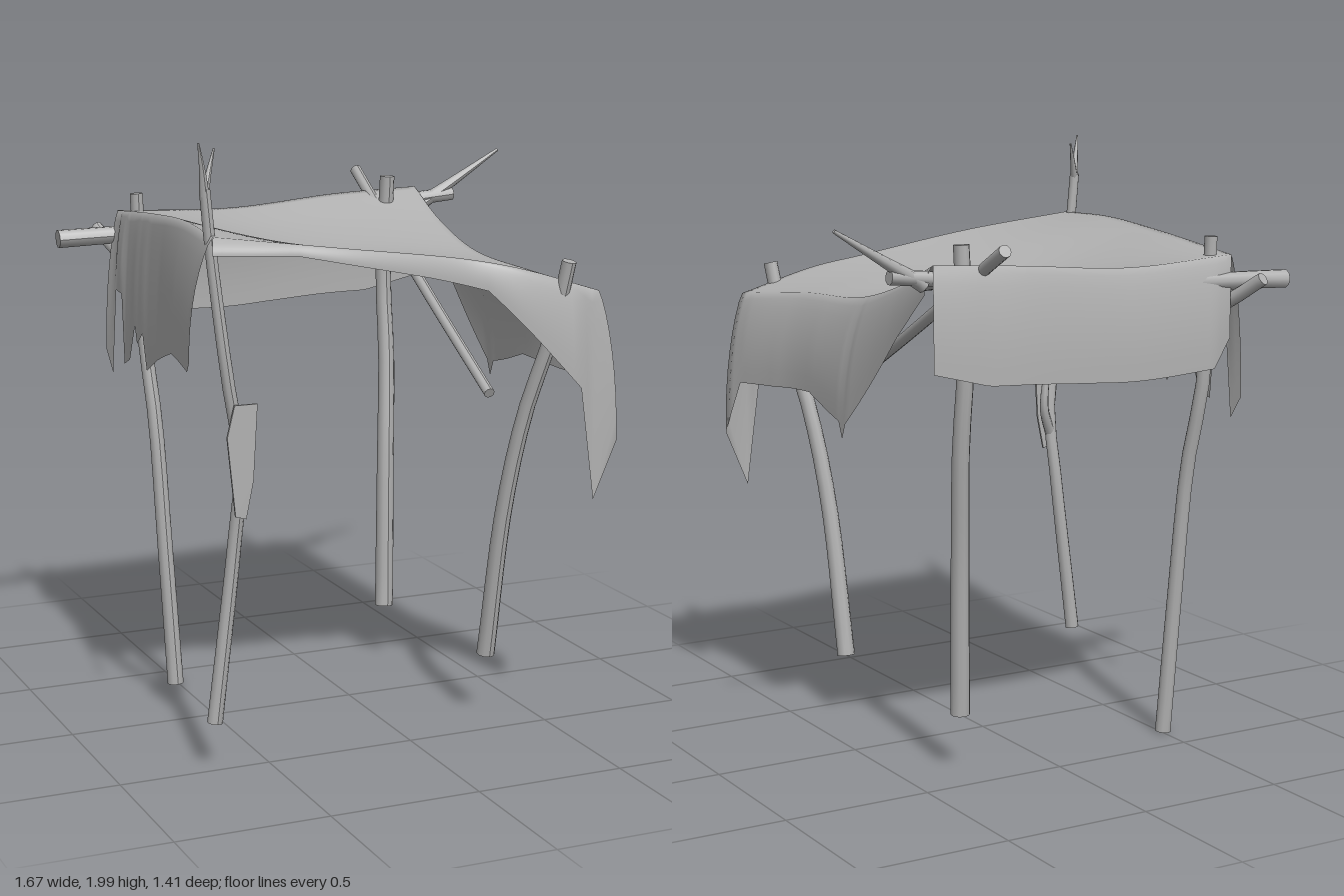
import * as THREE from 'three';
import { mergeGeometries, mergeVertices } from 'three/addons/utils/BufferGeometryUtils.js';

const V = (p) => new THREE.Vector3(...p);
const curve = (pts) => new THREE.CatmullRomCurve3(pts.map(V));

// Bent, tapering stick: a capped cylinder wrapped along a curve
function stick(pts, r0, r1, sides = 10) {
  const path = curve(pts);
  const geo = new THREE.CylinderGeometry(1, 1, 1, sides, 14);
  const pos = geo.attributes.position;
  const up = new THREE.Vector3(0, 1, 0), q = new THREE.Quaternion(), p = new THREE.Vector3();
  for (let i = 0; i < pos.count; i++) {
    const t = THREE.MathUtils.clamp(pos.getY(i) + 0.5, 0, 1);
    const r = THREE.MathUtils.lerp(r0, r1, t);
    q.setFromUnitVectors(up, path.getTangentAt(t));
    p.set(pos.getX(i) * r, 0, pos.getZ(i) * r).applyQuaternion(q).add(path.getPointAt(t));
    pos.setXYZ(i, p.x, p.y, p.z);
  }
  geo.computeVertexNormals();
  return geo;
}

// Grid surface from a rule
function sheet(nu, nv, rule) {
  const verts = [], idx = [];
  for (let j = 0; j <= nv; j++)
    for (let i = 0; i <= nu; i++) verts.push(...rule(i / nu, j / nv).toArray());
  for (let j = 0; j < nv; j++)
    for (let i = 0; i < nu; i++) {
      const a = j * (nu + 1) + i, d = a + nu + 1;
      idx.push(a, a + 1, d + 1, a, d + 1, d);
    }
  const geo = new THREE.BufferGeometry();
  geo.setAttribute('position', new THREE.Float32BufferAttribute(verts, 3));
  geo.setIndex(idx);
  return geo;
}

const N = 50;

// Hanging side below a rim; hem entries are [u, drop, outX, outZ]
function drape(rim, hem, flip) {
  return sheet(N, 8, (s, v) => {
    const u = flip ? 1 - s : s;
    let k = 0;
    while (k < hem.length - 2 && u > hem[k + 1][0]) k++;
    const a = hem[k], b = hem[k + 1];
    const t = (u - a[0]) / (b[0] - a[0]);
    const [, drop, ox, oz] = a.map((n, i) => THREE.MathUtils.lerp(n, b[i], t));
    const out = Math.sin(v * Math.PI / 2), down = Math.pow(v, 1.3);
    return rim.getPointAt(u).add(new THREE.Vector3(ox * out, -drop * down, oz * out));
  });
}

function canopy() {
  const FL = [-0.70, 1.72, 0.58], FR = [0.58, 1.49, 0.66];
  const BL = [-0.63, 1.67, -0.54], BR = [0.50, 1.70, -0.55];
  const front = curve([FL, [-0.3, 1.67, 0.62], [0.15, 1.605, 0.59], [0.32, 1.57, 0.63], FR]);
  const back = curve([BL, [-0.2, 1.655, -0.57], [0.2, 1.685, -0.58], BR]);
  const left = curve([FL, [-0.67, 1.73, 0.25], [-0.65, 1.71, -0.1], BL]);
  const right = curve([FR, [0.49, 1.52, 0.35], [0.47, 1.54, 0], [0.48, 1.61, -0.3], BR]);
  const c = [FL, FR, BL, BR].map(V);

  // Sagging roof blended from the four rims
  const roof = sheet(N, N, (u, v) => {
    const p = front.getPointAt(u).multiplyScalar(1 - v).addScaledVector(back.getPointAt(u), v)
      .addScaledVector(left.getPointAt(v), 1 - u).addScaledVector(right.getPointAt(v), u)
      .addScaledVector(c[0], -(1 - u) * (1 - v)).addScaledVector(c[1], -u * (1 - v))
      .addScaledVector(c[2], -(1 - u) * v).addScaledVector(c[3], -u * v);
    p.y -= 0.06 * Math.sin(u * Math.PI) * Math.sin(v * Math.PI);
    return p;
  });

  // Narrow front lip growing into the torn corner tail
  const frontHem = [[0, 0.05, -0.02, 0.05], [0.2, 0.035, 0, 0.02], [0.55, 0.07, 0, 0.02], [0.7, 0.09, 0, 0.02],
    [0.8, 0.19, 0, 0.03], [0.94, 0.33, 0, 0.04], [0.98, 0.69, 0.01, 0.02], [1, 0.49, 0.06, 0.03]];
  const rightHem = [[0, 0.49, 0.06, 0.03], [0.04, 0.31, 0.05, 0], [0.2, 0.32, 0.07, 0], [0.38, 0.32, 0.08, 0],
    [0.56, 0.40, 0.09, 0], [0.58, 0.46, 0.09, 0], [0.6, 0.41, 0.09, 0], [0.72, 0.30, 0.07, 0],
    [0.85, 0.18, 0.05, 0], [1, 0.09, 0.03, 0]];
  const leftHem = [[0, 0.38, -0.07, -0.03], [0.06, 0.42, -0.07, 0], [0.3, 0.42, -0.05, 0], [0.5, 0.47, -0.03, 0],
    [0.62, 0.52, -0.03, 0], [0.66, 0.40, -0.03, 0], [0.72, 0.44, -0.03, 0], [0.74, 0.38, -0.03, 0],
    [0.80, 0.50, -0.03, 0], [0.86, 0.52, -0.03, 0], [0.88, 0.28, -0.03, 0], [0.94, 0.27, -0.03, 0],
    [0.96, 0.56, -0.04, 0], [1, 0.48, -0.05, 0]];
  const backHem = [[0, 0.27, 0.03, -0.04], [0.06, 0.36, 0.04, -0.06], [0.5, 0.36, 0, -0.05],
    [0.85, 0.37, 0, -0.04], [1, 0.33, 0.02, -0.04]];

  const geo = mergeVertices(mergeGeometries([
    roof, drape(front, frontHem, true), drape(right, rightHem, true),
    drape(left, leftHem, false), drape(back, backHem, false),
  ]), 1e-4);
  geo.computeVertexNormals();
  return geo;
}

export function createModel() {
  const group = new THREE.Group();
  const grey = new THREE.MeshStandardMaterial({ color: 0xb0b0b0, side: THREE.DoubleSide });
  grey.name = 'plain grey';
  const add = (name, geo) => {
    const mesh = new THREE.Mesh(geo, grey);
    mesh.name = name;
    group.add(mesh);
    return mesh;
  };

  add('canopyCloth', canopy());

  // Four crooked posts
  add('backRightPost', stick([[-0.51, 0.01, -0.36], [-0.53, 0.5, -0.39], [-0.545, 0.95, -0.43], [-0.56, 1.25, -0.49], [-0.575, 1.73, -0.50]], 0.028, 0.022));
  add('frontRightPost', stick([[-0.675, 0.16, 0.48], [-0.61, 0.75, 0.50], [-0.60, 1.0, 0.53], [-0.65, 1.3, 0.55], [-0.69, 1.65, 0.54], [-0.71, 1.86, 0.54]], 0.025, 0.017));
  add('frontLeftPost', stick([[0.34, 0.225, 0.37], [0.355, 0.75, 0.46], [0.39, 1.08, 0.53], [0.44, 1.35, 0.61], [0.47, 1.59, 0.66]], 0.031, 0.024));
  add('backLeftPost', stick([[0.298, 0.2, -0.36], [0.32, 0.75, -0.40], [0.345, 1.1, -0.45], [0.35, 1.4, -0.49], [0.36, 1.75, -0.48]], 0.033, 0.026));

  // Forked twigs on the tall post, and a stub lower down
  add('forkTwig', stick([[-0.71, 1.84, 0.54], [-0.72, 1.92, 0.55], [-0.735, 2.0, 0.56]], 0.016, 0.003, 7));
  add('forkTwig', stick([[-0.71, 1.84, 0.54], [-0.69, 1.90, 0.52], [-0.66, 1.975, 0.49]], 0.014, 0.003, 7));
  add('postTwig', stick([[-0.60, 0.90, 0.52], [-0.56, 1.0, 0.50], [-0.57, 1.15, 0.50]], 0.02, 0.012, 7));

  // Rails and their projecting ends
  add('backRail', stick([[-0.84, 1.58, -0.555], [-0.2, 1.60, -0.54], [0.64, 1.67, -0.53]], 0.031, 0.024));
  add('railSpike', stick([[0.52, 1.64, -0.53], [0.66, 1.72, -0.535], [0.83, 1.82, -0.54]], 0.026, 0.006, 8));
  add('slantedRail', stick([[0.275, 1.15, 0.5], [0.30, 1.42, -0.05], [0.34, 1.75, -0.71]], 0.018, 0.021));
  add('shortRail', stick([[-0.58, 1.46, -0.44], [-0.63, 1.53, -0.56], [-0.67, 1.60, -0.66]], 0.024, 0.022));

  // Cloth scrap tied to the tall post
  const scrap = new THREE.Shape([[-0.635, 1.2], [-0.66, 1.1], [-0.635, 0.85], [-0.60, 0.84], [-0.575, 0.96], [-0.56, 1.2]]
    .map(([x, y]) => new THREE.Vector2(x, y)));
  const hung = add('hangingScrap', new THREE.ExtrudeGeometry(scrap, { depth: 0.008, bevelEnabled: false }));
  hung.position.z = 0.57;

  return group;
}
